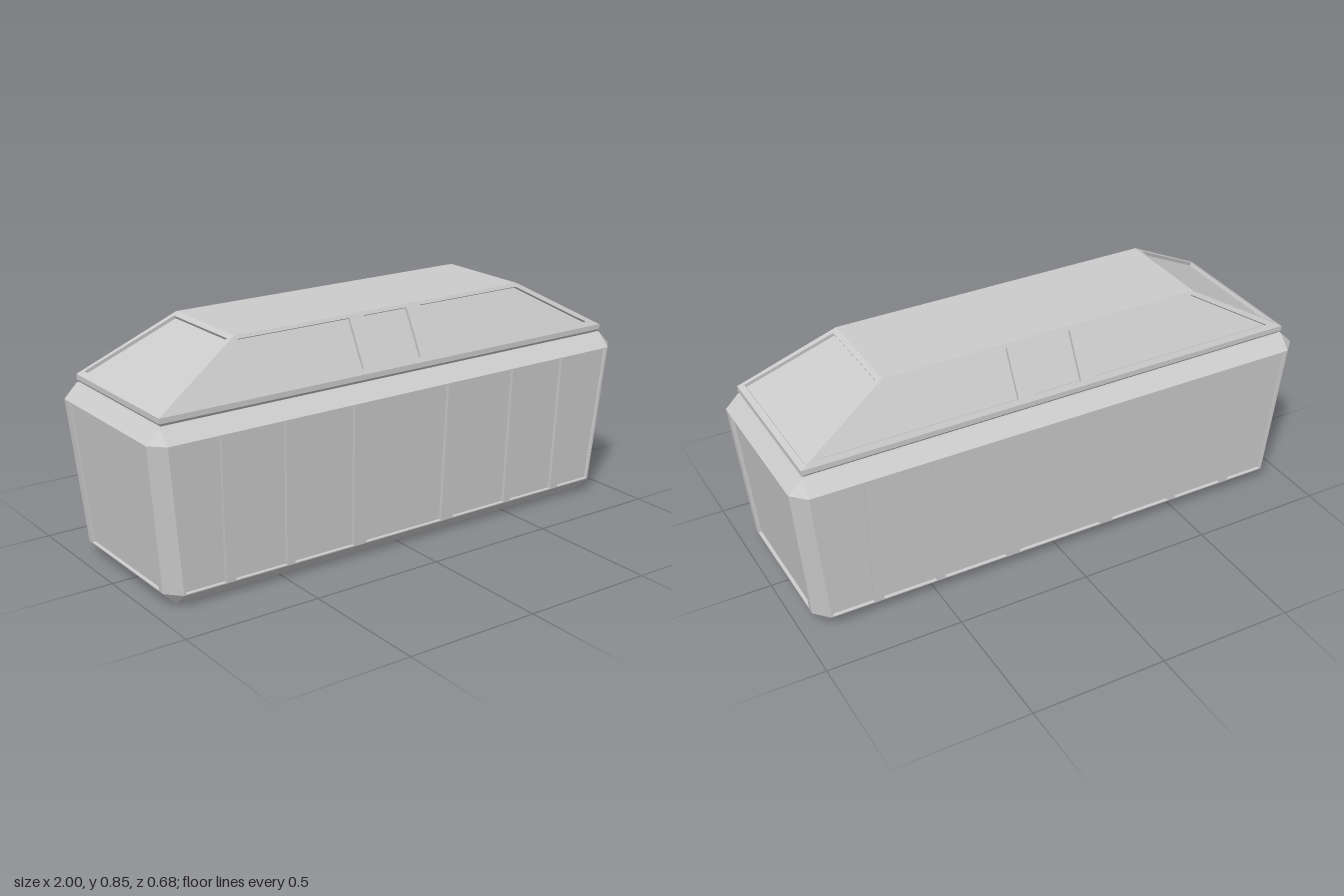
import * as THREE from 'three';

const material = new THREE.MeshStandardMaterial({ color: 0xcccccc, flatShading: true });
const DEPTH = 0.012; // how far the panels sit in

function addMesh(group, name, geometry) {
  const mesh = new THREE.Mesh(geometry, material);
  mesh.name = name;
  group.add(mesh);
}

// Flat convex faces of a solid, each turned to face away from the centre
function facesGeometry(faces, centreY) {
  const positions = [];
  for (const face of faces) {
    const p = face.map((c) => new THREE.Vector3(...c));
    const normal = p[1].clone().sub(p[0]).cross(p[2].clone().sub(p[0]));
    if (normal.dot(p[0].clone().sub(new THREE.Vector3(0, centreY, 0))) < 0) p.reverse();
    for (let i = 1; i < p.length - 1; i++) {
      for (const v of [p[0], p[i], p[i + 1]]) positions.push(v.x, v.y, v.z);
    }
  }
  const geometry = new THREE.BufferGeometry();
  geometry.setAttribute('position', new THREE.Float32BufferAttribute(positions, 3));
  geometry.computeVertexNormals();
  return geometry;
}

// Leaning trapezoid wall with recessed panels; low and high are [half width, y, distance out].
// Panels are outlines of [across, y]; turn counts quarter turns about the vertical axis.
function addPanelWall(group, name, low, high, panels, turn) {
  const [w0, y0, d0] = low;
  const [w1, y1, d1] = high;
  const stretch = Math.hypot(y1 - y0, d1 - d0) / (y1 - y0);
  const outline = (pts) => pts.map(([x, y]) => new THREE.Vector2(x, (y - y0) * stretch));
  const place = (geometry, z) => geometry
    .translate(0, 0, z)
    .rotateX(Math.atan2(d1 - d0, y1 - y0))
    .translate(0, y0, d0)
    .rotateY(turn * Math.PI / 2);

  const frame = new THREE.Shape(outline([[-w0, y0], [w0, y0], [w1, y1], [-w1, y1]]));
  for (const panel of panels) {
    frame.holes.push(new THREE.Path(outline(panel)));
    addMesh(group, name + 'Panel', place(new THREE.ShapeGeometry(new THREE.Shape(outline(panel))), -DEPTH));
  }
  const solid = new THREE.ExtrudeGeometry(frame, { depth: DEPTH, bevelEnabled: false });
  addMesh(group, name + 'Frame', place(solid, -DEPTH));
}

// Four-sided panel from its low and high edges
const quad = (yLow, yHigh, [a, b], [c, d]) => [[a, yLow], [b, yLow], [d, yHigh], [c, yHigh]];
const mirrored = (panel) => panel.map(([x, y]) => [-x, y]);

const rect = (x, y, z) => [[-x, y, -z], [x, y, -z], [x, y, z], [-x, y, z]];
// Sloping faces between two rectangles
const band = (a, b) => a.map((p, i) => [p, a[(i + 1) % 4], b[(i + 1) % 4], b[i]]);

function createBody() {
  const body = new THREE.Group();
  body.name = 'body';
  // Each level: outer x, inner x, y, outer z, inner z
  const low = { X: 0.95, x: 0.9, y: 0.05, Z: 0.318, z: 0.265 };
  const high = { X: 1, x: 0.95, y: 0.58, Z: 0.34, z: 0.29 };
  const faces = [rect(low.x, 0, low.z), rect(high.x, 0.63, high.z)];

  // Chamfers along the bottom and top edges
  for (const [l, y] of [[low, 0], [high, 0.63]]) {
    for (const s of [1, -1]) {
      faces.push([[-l.x, y, s * l.z], [l.x, y, s * l.z], [l.x, l.y, s * l.Z], [-l.x, l.y, s * l.Z]]);
      faces.push([[s * l.x, y, -l.z], [s * l.x, y, l.z], [s * l.X, l.y, l.z], [s * l.X, l.y, -l.z]]);
      // Corner triangles
      for (const t of [1, -1]) {
        faces.push([[s * l.x, y, t * l.z], [s * l.X, l.y, t * l.z], [s * l.x, l.y, t * l.Z]]);
      }
    }
  }
  // Upright corner chamfers
  for (const s of [1, -1]) for (const t of [1, -1]) {
    faces.push([
      [s * low.X, low.y, t * low.z], [s * low.x, low.y, t * low.Z],
      [s * high.x, high.y, t * high.Z], [s * high.X, high.y, t * high.z],
    ]);
  }
  addMesh(body, 'bodyShell', facesGeometry(faces, 0.3));

  // Long sides: a centre panel and three panels each way, split by ribs
  const sidePanels = [quad(0.054, 0.576, [-0.168, 0.168], [-0.174, 0.174])];
  for (const [a, b] of [
    [[0.222, 0.468], [0.233, 0.473]],
    [[0.5, 0.703], [0.51, 0.714]],
    [[0.74, 0.893], [0.757, 0.941]],
  ]) {
    const panel = quad(0.054, 0.576, a, b);
    sidePanels.push(panel, mirrored(panel));
  }
  const endPanels = [quad(0.054, 0.576, [-0.24, 0.24], [-0.26, 0.26])];
  for (const k of [0, 2]) {
    addPanelWall(body, 'bodySide', [low.x, low.y, low.Z], [high.x, high.y, high.Z], sidePanels, k);
    addPanelWall(body, 'bodyEnd', [low.z, low.y, low.X], [high.z, high.y, high.X], endPanels, k + 1);
  }
  return body;
}

function createLid() {
  const lid = new THREE.Group();
  lid.name = 'lid';
  // Undercut rim and flat top
  const under = rect(0.94, 0.63, 0.28);
  const rimLow = rect(0.95, 0.641, 0.29);
  const rimHigh = rect(0.95, 0.66, 0.29);
  addMesh(lid, 'lidRim', facesGeometry([under, ...band(under, rimLow), ...band(rimLow, rimHigh)], 0.65));
  addMesh(lid, 'lidTop', facesGeometry([rect(0.61, 0.85, 0.19)], 0.7));

  // Sloping sides and ends
  const wing = quad(0.678, 0.838, [0.153, 0.885], [0.153, 0.6]);
  const sidePanels = [wing, mirrored(wing), quad(0.678, 0.838, [-0.093, 0.093], [-0.093, 0.093])];
  const endPanels = [quad(0.671, 0.84, [-0.268, 0.268], [-0.174, 0.174])];
  for (const k of [0, 2]) {
    addPanelWall(lid, 'lidSide', [0.95, 0.66, 0.29], [0.61, 0.85, 0.19], sidePanels, k);
    addPanelWall(lid, 'lidEnd', [0.29, 0.66, 0.95], [0.19, 0.85, 0.61], endPanels, k + 1);
  }
  return lid;
}

export function createModel() {
  const model = new THREE.Group();
  model.name = 'panelledChest';
  model.add(createBody(), createLid());
  return model;
}
